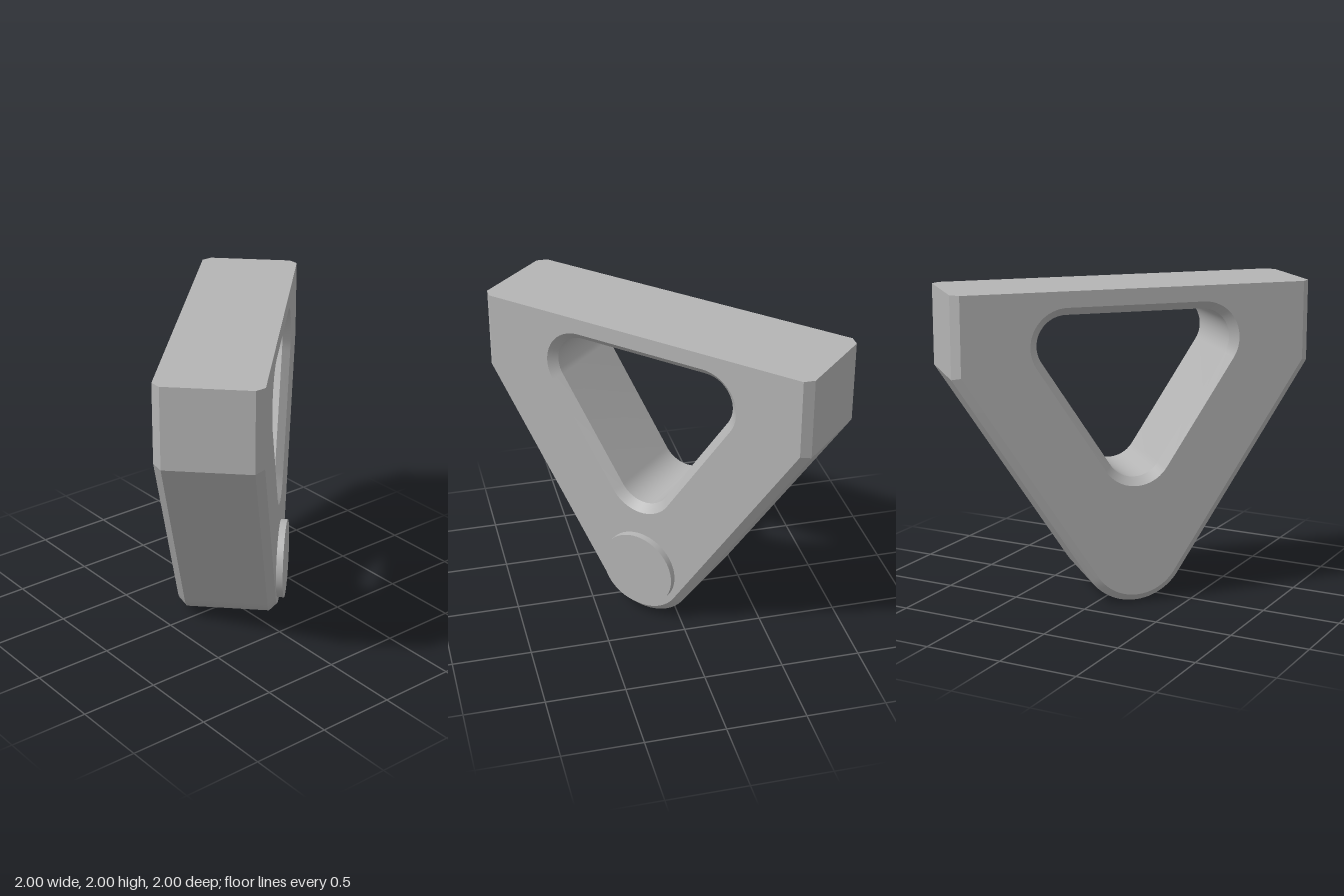
import * as THREE from 'three';
import { toCreasedNormals } from 'three/addons/utils/BufferGeometryUtils.js';

const HALF_LENGTH = 1.1455, HALF_DEPTH = 0.318, CHAMFER = 0.05;
const SLOPE = THREE.MathUtils.degToRad(32.7); // tilt of the tapering sides

// Points along an arc, counter-clockwise
function arc(cx, cy, r, from, to, steps = 20) {
  return Array.from({ length: steps + 1 }, (_, i) => {
    const a = from + (to - from) * i / steps;
    return new THREE.Vector2(cx + r * Math.cos(a), cy + r * Math.sin(a));
  });
}

// Outer outline moved inward by c; the top edge always stays at y = 2
function outerOutline(c) {
  const x = HALF_LENGTH - c, y = 1.4905 + c * Math.tan(SLOPE / 2);
  return [
    ...arc(0, 0.345, 0.345 - c, -Math.PI + SLOPE, -SLOPE, 28),
    new THREE.Vector2(x, y), new THREE.Vector2(x, 2),
    new THREE.Vector2(-x, 2), new THREE.Vector2(-x, y),
  ];
}

// Rounded triangular opening widened by c, clockwise
function holeOutline(c) {
  const r = 0.185 + c;
  return [
    ...arc(0, 0.995, r, -Math.PI + SLOPE, -SLOPE),
    ...arc(0.435, 1.665, r, -SLOPE, Math.PI / 2),
    ...arc(-0.435, 1.665, r, Math.PI / 2, Math.PI + SLOPE),
  ].reverse();
}

// Wall with a chamfer at both ends, following an outline through the depth
function chamferedWall(outline) {
  const flat = HALF_DEPTH - CHAMFER;
  const rings = [[CHAMFER, -HALF_DEPTH], [0, -flat], [0, flat], [CHAMFER, HALF_DEPTH]]
    .map(([c, z]) => outline(c).map(p => [p.x, p.y, z]));
  const pos = [];
  for (let k = 0; k < rings.length - 1; k++) {
    const lo = rings[k], hi = rings[k + 1];
    for (let i = 0; i < lo.length; i++) {
      const j = (i + 1) % lo.length;
      pos.push(...lo[i], ...lo[j], ...hi[j], ...lo[i], ...hi[j], ...hi[i]);
    }
  }
  const geo = new THREE.BufferGeometry();
  geo.setAttribute('position', new THREE.Float32BufferAttribute(pos, 3));
  return toCreasedNormals(geo, 0.4);
}

export function createModel() {
  const model = new THREE.Group();
  const bracket = new THREE.Group();
  bracket.name = 'bracket';
  bracket.rotation.y = Math.PI / 4;
  model.add(bracket);

  const grey = new THREE.MeshStandardMaterial({ color: 0xb4b4b4 });
  grey.name = 'grey';

  const add = (name, geo) => {
    const mesh = new THREE.Mesh(geo, grey);
    mesh.name = name;
    bracket.add(mesh);
    return mesh;
  };

  // Outer sides with the flat top, and the sides of the opening
  add('outerWall', chamferedWall(outerOutline));
  add('openingWall', chamferedWall(holeOutline));

  // Front and back faces
  const shape = new THREE.Shape(outerOutline(CHAMFER));
  shape.holes.push(new THREE.Path(holeOutline(CHAMFER)));
  const face = new THREE.ShapeGeometry(shape);
  add('frontFace', face).position.z = HALF_DEPTH;
  const back = add('backFace', face);
  back.position.z = -HALF_DEPTH;
  back.rotation.y = Math.PI;

  // Round boss on the front
  const boss = add('boss', new THREE.CylinderGeometry(0.255, 0.255, 0.061, 64));
  boss.rotation.x = Math.PI / 2;
  boss.position.set(0, 0.345, 0.3305);

  return model;
}
